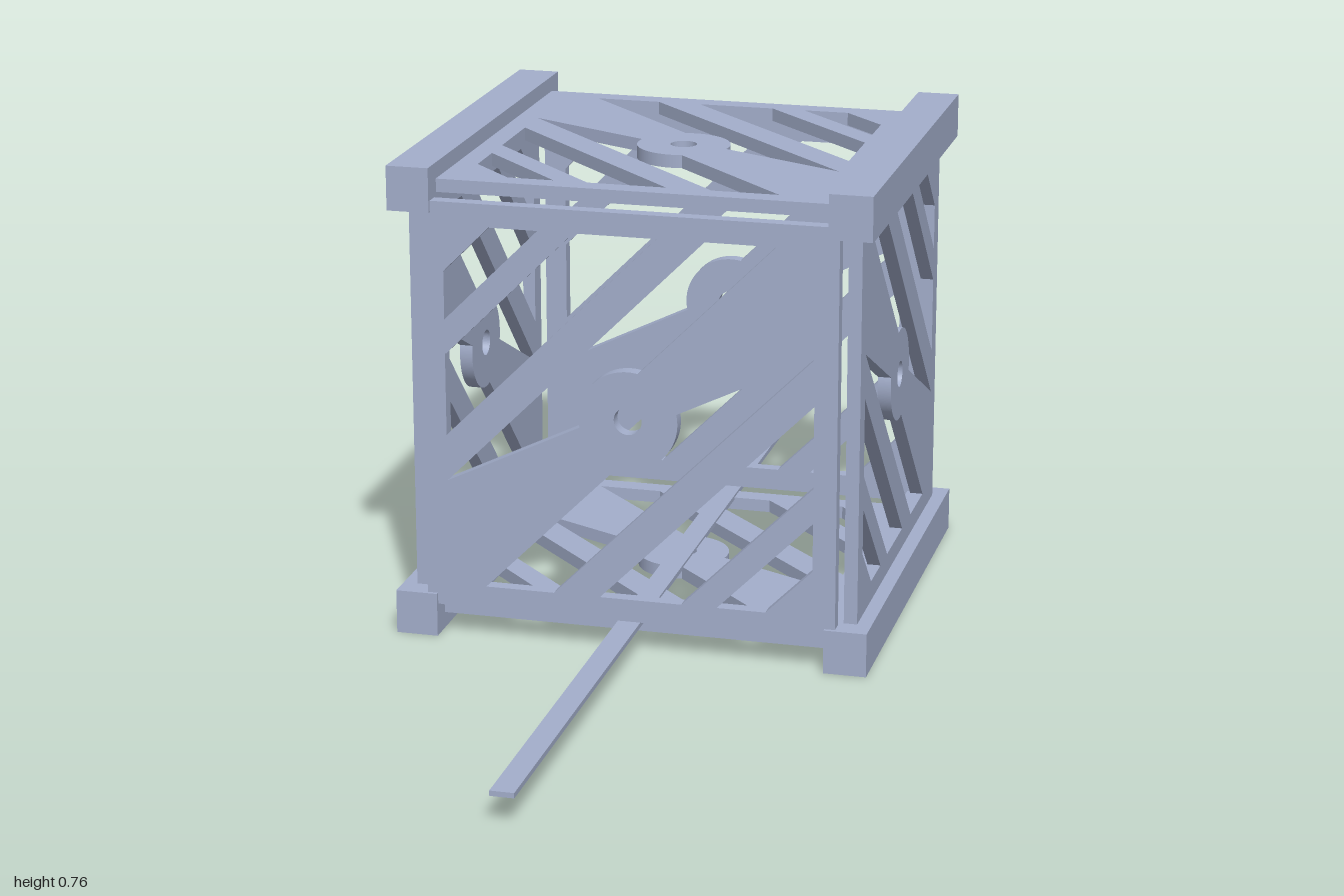
import * as THREE from 'three';

const CENTER_Y = 0.379;
const HUB_R = 0.078;
const WINDOW = 0.29;

// One diagonal slot between the lines v = u + near and v = u + far; sign -1 turns it half round
function slot(near, far, sign) {
  const w = WINDOW, p = new THREE.Path();
  p.moveTo(-w * sign, (near - w) * sign);
  const d = near / Math.SQRT2;
  if (d < HUB_R) {
    // the slot edge bulges around the central hub
    const mid = Math.PI * 0.75 + (sign < 0 ? Math.PI : 0);
    const half = Math.acos(d / HUB_R);
    p.absarc(0, 0, HUB_R, mid + half, mid - half, true);
  }
  p.lineTo((w - near) * sign, w * sign);
  p.lineTo((w - far) * sign, w * sign);
  p.lineTo(-w * sign, (far - w) * sign);
  p.closePath();
  return p;
}

// Square plate with diagonal slots and a holed hub, centred on the origin
function panelGeometry() {
  const h = 0.326, t = 0.022;
  const plate = new THREE.Shape([
    new THREE.Vector2(-h, -h), new THREE.Vector2(h, -h),
    new THREE.Vector2(h, h), new THREE.Vector2(-h, h),
  ]);
  for (const sign of [1, -1]) {
    for (const [near, far] of [[0.06, 0.17], [0.244, 0.374], [0.43, 0.507]]) {
      plate.holes.push(slot(near, far, sign));
    }
  }
  plate.holes.push(new THREE.Path().absarc(0, 0, 0.022, 0, Math.PI * 2, true));
  const g = new THREE.ExtrudeGeometry(plate, { depth: t, bevelEnabled: false, curveSegments: 32 });
  return g.translate(0, 0, -t / 2);
}

export function createModel() {
  const model = new THREE.Group();
  const metal = new THREE.MeshStandardMaterial({ color: 0xa3aecb });
  metal.name = 'blue grey metal';

  function add(name, geometry, x, y, z) {
    const mesh = new THREE.Mesh(geometry, metal);
    mesh.name = name;
    mesh.position.set(x, y, z);
    model.add(mesh);
    return mesh;
  }

  // Four square rails running front to back
  const rail = new THREE.BoxGeometry(0.067, 0.07, 0.694);
  for (const x of [-0.343, 0.343]) {
    for (const y of [0.036, 0.722]) {
      add((y < 0.3 ? 'lower' : 'upper') + (x > 0 ? 'Left' : 'Right') + 'Rail', rail, x, y, 0);
    }
  }

  // Six slotted panels; the side, top and bottom ones are slightly smaller
  const full = panelGeometry();
  const small = panelGeometry().scale(0.95, 0.95, 0.95);
  const side = small.clone().rotateY(-Math.PI / 2);
  const flat = small.clone().rotateX(Math.PI / 2);
  add('frontPanel', full, 0, CENTER_Y, 0.33);
  add('backPanel', full, 0, CENTER_Y, -0.33);
  add('leftPanel', side, 0.3435, CENTER_Y, 0);
  add('rightPanel', side, -0.3435, CENTER_Y, 0);
  add('topPanel', flat, 0, 0.7215, 0);
  add('bottomPanel', flat, 0, 0.0375, 0);

  // Long thin antenna strip
  add('antenna', new THREE.BoxGeometry(0.036, 0.008, 2), 0, 0.048, 0);

  return model;
}
